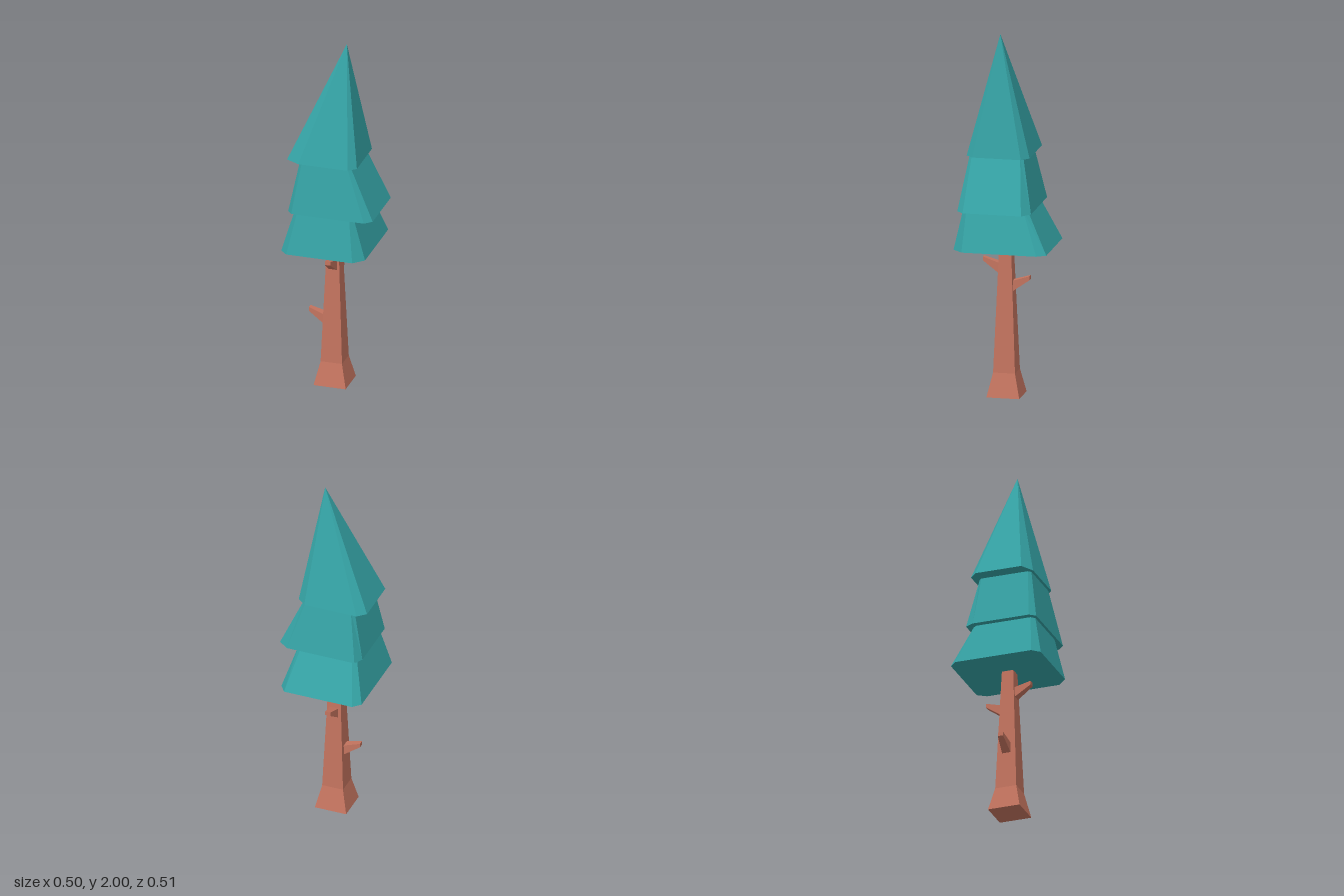
import * as THREE from 'three';

const leafMat = new THREE.MeshStandardMaterial({ color: 0x35a3a5, flatShading: true });
const barkMat = new THREE.MeshStandardMaterial({ color: 0xc4745f, flatShading: true });

// Skin a list of equal-length rings (clockwise seen from the far end) and cap both ends
function loft(rings) {
  const pos = [];
  const tri = (a, b, c) => pos.push(...a, ...b, ...c);
  const n = rings[0].length;
  for (let k = 0; k < rings.length - 1; k++) {
    const lo = rings[k], hi = rings[k + 1];
    for (let i = 0; i < n; i++) {
      const j = (i + 1) % n;
      tri(lo[i], hi[i], hi[j]);
      tri(lo[i], hi[j], lo[j]);
    }
  }
  const first = rings[0], last = rings[rings.length - 1];
  for (let i = 1; i < n - 1; i++) {
    tri(first[0], first[i], first[i + 1]);
    tri(last[0], last[i + 1], last[i]);
  }
  const geo = new THREE.BufferGeometry();
  geo.setAttribute('position', new THREE.Float32BufferAttribute(pos, 3));
  geo.computeVertexNormals();
  return geo;
}

function part(name, geo, mat) {
  const mesh = new THREE.Mesh(geo, mat);
  mesh.name = name;
  return mesh;
}

const atHeight = (y, points) => points.map(([x, z]) => [x, y, z]);

// Rectangle with clipped corners
const clippedRect = (x0, x1, z0, z1, c) => [
  [x0 + c, z0], [x1 - c, z0], [x1, z0 + c], [x1, z1 - c],
  [x1 - c, z1], [x0 + c, z1], [x0, z1 - c], [x0, z0 + c],
];

// Square ring of the trunk around its own axis
const CX = -0.02, CZ = 0.005;
const trunkRing = (y, h) => atHeight(y, [
  [CX - h, CZ - h], [CX + h, CZ - h], [CX + h, CZ + h], [CX - h, CZ + h],
]);

// Tapered stub pointing to +z, with its tip top edge at y = 0
function branchGeometry(root, tip) {
  const ring = (z, w, lo, hi) => [[-w, hi, z], [w, hi, z], [w, lo, z], [-w, lo, z]];
  return loft([ring(root, 0.025, -0.09, -0.03), ring(tip, 0.015, -0.022, 0)]);
}

export function createModel() {
  const tree = new THREE.Group();
  tree.name = 'pineTree';

  // Trunk with flared foot
  tree.add(part('trunk',
    loft([trunkRing(0, 0.09), trunkRing(0.132, 0.06), trunkRing(0.84, 0.032)]), barkMat));

  // Branch stubs: name, tip height, root and tip distance, heading
  for (const [name, y, root, tip, angle] of [
    ['frontBranch', 0.757, 0.03, 0.125, 0],
    ['rightBranch', 0.42, 0.043, 0.14, -Math.PI / 2],
    ['backBranch', 0.662, 0.032, 0.13, Math.PI],
  ]) {
    const branch = part(name, branchGeometry(root, tip), barkMat);
    branch.position.set(CX, y, CZ);
    branch.rotation.y = angle;
    tree.add(branch);
  }

  // Foliage: irregular clipped skirts, the top one closing to a point
  tree.add(part('lowerFoliage', loft([
    atHeight(0.828, [
      [-0.213, -0.258], [0.178, -0.258], [0.212, -0.21], [0.212, 0.2],
      [0.157, 0.255], [-0.213, 0.255], [-0.253, 0.215], [-0.253, -0.218],
    ]),
    atHeight(1.056, clippedRect(-0.188, 0.145, -0.145, 0.207, 0.02)),
  ]), leafMat));

  tree.add(part('middleFoliage', loft([
    atHeight(1.055, [
      [-0.195, -0.178], [0.195, -0.178], [0.25, -0.135], [0.25, 0.185],
      [0.212, 0.222], [-0.195, 0.222], [-0.222, 0.19], [-0.222, -0.13],
    ]),
    atHeight(1.341, clippedRect(-0.165, 0.122, -0.117, 0.178, 0.015)),
  ]), leafMat));

  tree.add(part('topFoliage', loft([
    atHeight(1.34, [
      [-0.195, -0.15], [0.105, -0.15], [0.152, -0.112], [0.152, 0.155],
      [0.112, 0.193], [-0.165, 0.193], [-0.24, 0.153], [-0.24, -0.108],
    ]),
    atHeight(2, clippedRect(0.052, 0.054, 0.021, 0.023, 0.0005)),
  ]), leafMat));

  return tree;
}
